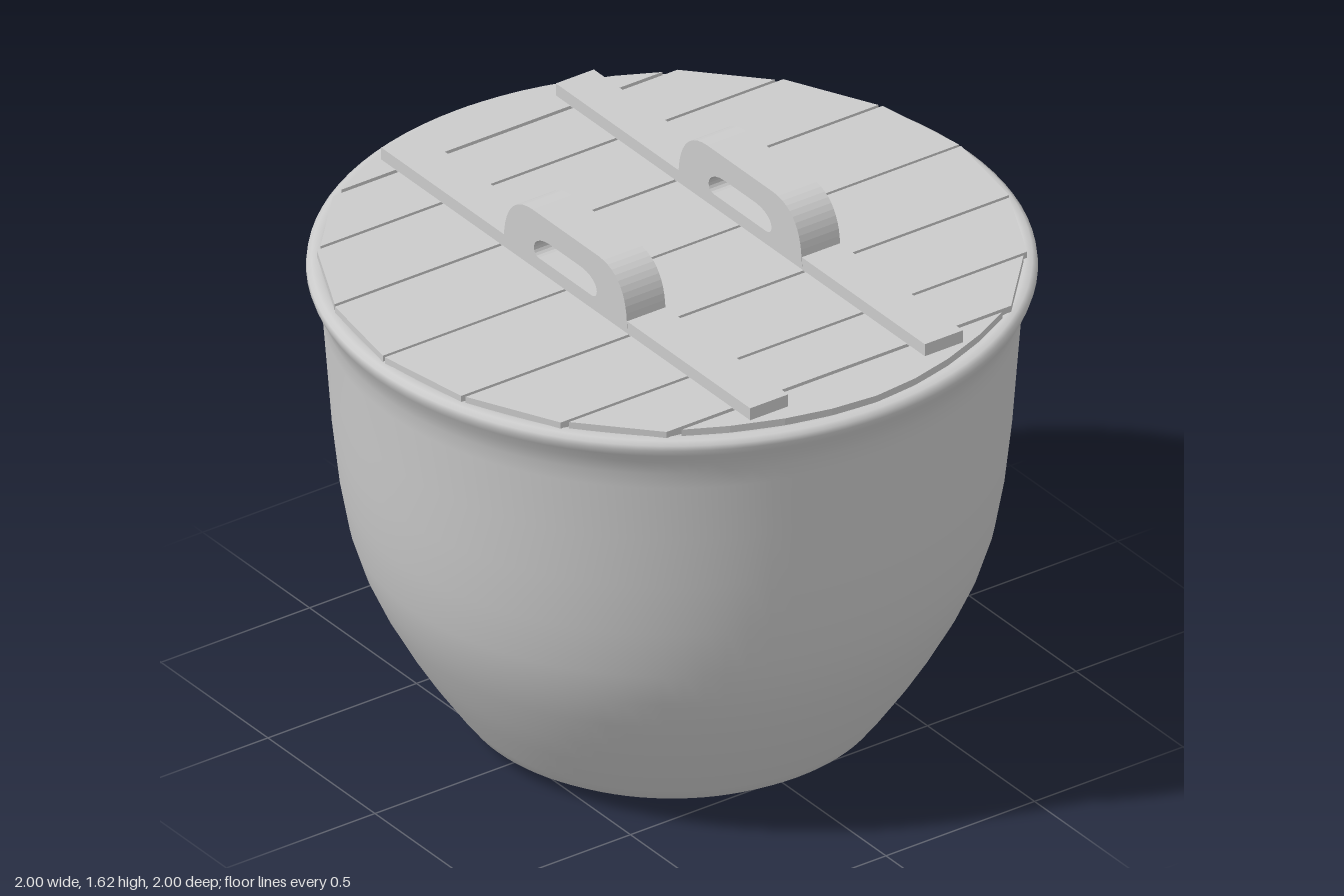
import * as THREE from 'three';

const material = new THREE.MeshStandardMaterial({ color: 0xcccccc });
const potMaterial = new THREE.MeshStandardMaterial({ color: 0xcccccc, side: THREE.DoubleSide });

function addMesh(parent, name, geometry, mat = material) {
  const mesh = new THREE.Mesh(geometry, mat);
  mesh.name = name;
  parent.add(mesh);
  return mesh;
}

// Hollow pot: outer wall, flared rim, inner wall and floor
function potGeometry() {
  const profile = [
    [0, 0], [0.3, 0.002], [0.48, 0.01], [0.545, 0.024], [0.585, 0.05], [0.615, 0.09],
    [0.69, 0.2], [0.745, 0.29], [0.805, 0.4], [0.85, 0.5], [0.885, 0.61], [0.912, 0.76],
    [0.93, 0.92], [0.942, 1.08], [0.955, 1.25], [0.96, 1.3], [0.975, 1.345], [0.993, 1.375],
    [1, 1.395], [0.998, 1.41], [0.985, 1.419], [0.965, 1.421], [0.935, 1.415],
    [0.92, 1.39], [0.915, 1.3], [0.895, 0.95], [0.85, 0.62], [0.77, 0.4], [0.65, 0.2],
    [0.56, 0.08], [0.45, 0.05], [0, 0.045],
  ];
  return new THREE.LatheGeometry(profile.map(([x, y]) => new THREE.Vector2(x, y)), 96);
}

// Flat board cut from an outline in the lid plane
function plankGeometry(outline) {
  const shape = new THREE.Shape(outline.map(([x, z]) => new THREE.Vector2(x, z)));
  const geometry = new THREE.ExtrudeGeometry(shape, { depth: 0.024, bevelEnabled: false });
  return geometry.rotateX(-Math.PI / 2).translate(0, 1.416, 0);
}

// Arched grip with an oblong finger hole
function handleGeometry(width) {
  const shape = new THREE.Shape();
  shape.moveTo(-0.29, 1.45);
  shape.lineTo(0.29, 1.45);
  shape.lineTo(0.285, 1.5);
  shape.bezierCurveTo(0.275, 1.57, 0.235, 1.62, 0.155, 1.622);
  shape.lineTo(-0.155, 1.622);
  shape.bezierCurveTo(-0.235, 1.62, -0.275, 1.57, -0.285, 1.5);
  shape.closePath();
  const hole = new THREE.Path();
  hole.moveTo(-0.125, 1.482);
  hole.bezierCurveTo(-0.16, 1.485, -0.16, 1.545, -0.075, 1.549);
  hole.lineTo(0.075, 1.549);
  hole.bezierCurveTo(0.16, 1.545, 0.16, 1.485, 0.125, 1.482);
  hole.closePath();
  shape.holes.push(hole);
  return new THREE.ExtrudeGeometry(shape, { depth: width, bevelEnabled: false, curveSegments: 10 })
    .translate(0, 0, -width / 2);
}

export function createModel() {
  const model = new THREE.Group();
  model.name = 'liddedPot';
  addMesh(model, 'pot', potGeometry(), potMaterial);

  const lid = new THREE.Group();
  lid.name = 'lid';
  model.add(lid);

  // Planks: [inner x, inner half length, outer x, outer half length]
  const planks = [
    [0.005, 0.97, 0.295, 0.922],
    [0.306, 0.915, 0.57, 0.785],
    [0.581, 0.765, 0.78, 0.58],
  ];
  for (const side of [-1, 1]) {
    for (const [x0, z0, x1, z1] of planks) {
      addMesh(lid, 'plank', plankGeometry(
        [[side * x0, -z0], [side * x1, -z1], [side * x1, z1], [side * x0, z0]]));
    }
    const curve = [[0.794, -0.54], [0.855, -0.42], [0.91, -0.275], [0.943, -0.14], [0.957, 0],
      [0.943, 0.14], [0.91, 0.275], [0.855, 0.42], [0.794, 0.54]];
    addMesh(lid, 'edgePlank', plankGeometry(curve.map(([x, z]) => [side * x, z])));
  }

  // Two crossbars, each carrying a handle
  const width = 0.128;
  for (const side of [-1, 1]) {
    const bar = addMesh(lid, 'crossbar', new THREE.BoxGeometry(1.725, 0.04, width));
    bar.position.set(0, 1.458, side * 0.294);
    const handle = addMesh(lid, 'handle', handleGeometry(width + 0.002));
    handle.position.z = side * 0.294;
  }
  return model;
}
